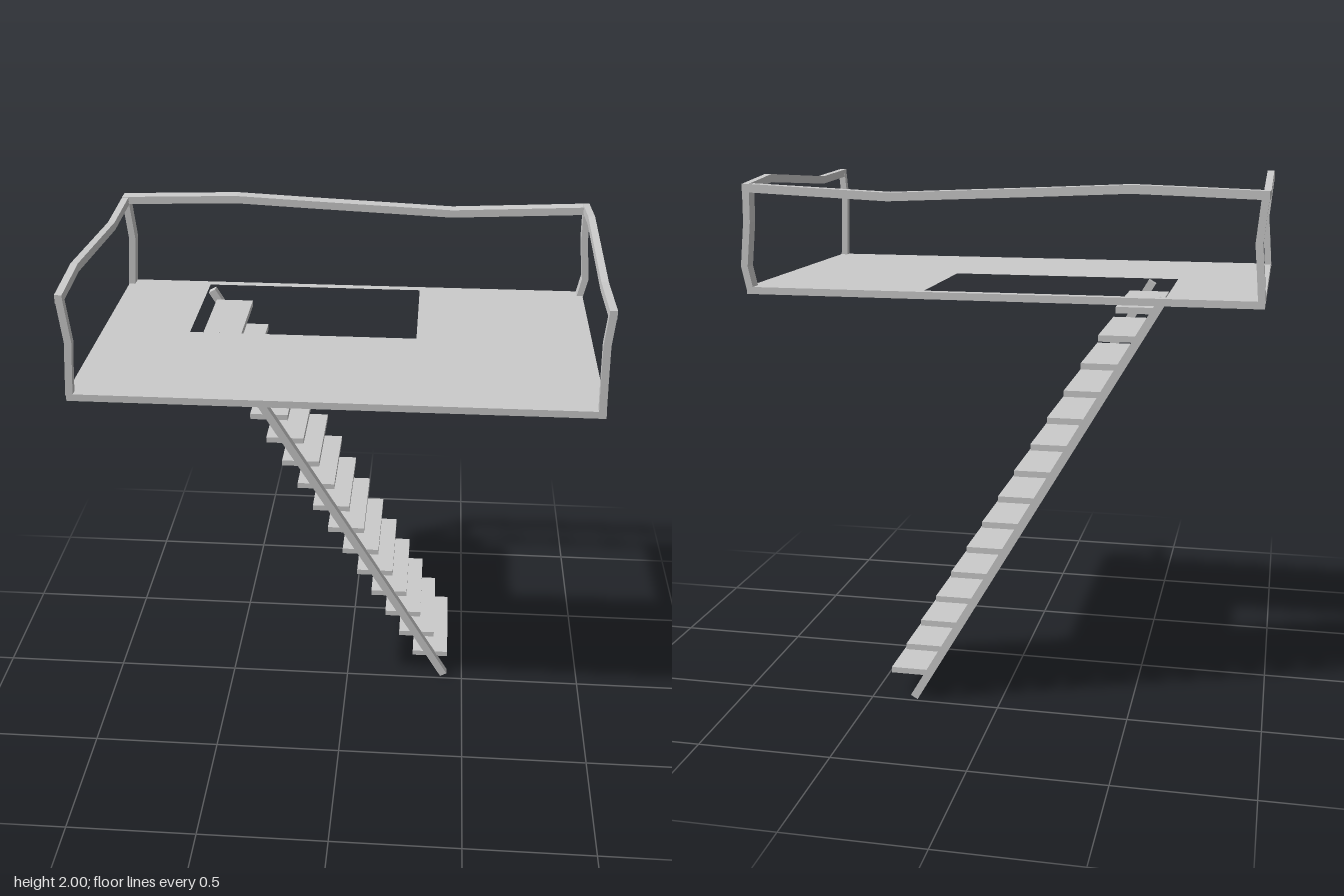
import * as THREE from 'three';

const material = new THREE.MeshStandardMaterial({ color: 0xcccccc, flatShading: true });
const X = [1, 0, 0], Y = [0, 1, 0], Z = [0, 0, 1];

// Slightly crooked beam: a w x h rectangle (along fixed axes u and v) swept through a few points
function beam(name, points, u, w, v, h) {
  const U = new THREE.Vector3(...u).multiplyScalar(w / 2);
  const V = new THREE.Vector3(...v).multiplyScalar(h / 2);
  const path = points.map((p) => new THREE.Vector3(...p));
  const along = path[path.length - 1].clone().sub(path[0]);
  if (U.clone().cross(V).dot(along) < 0) V.negate();
  const corners = [[-1, -1], [1, -1], [1, 1], [-1, 1]];
  const rings = path.map((p) => corners.map(([a, b]) => p.clone().addScaledVector(U, a).addScaledVector(V, b)));
  const out = [];
  const quad = (a, b, c, d) => [a, b, c, a, c, d].forEach((p) => out.push(p));
  for (let i = 0; i + 1 < rings.length; i++) {
    for (let k = 0; k < 4; k++) {
      const n = (k + 1) % 4;
      quad(rings[i][k], rings[i][n], rings[i + 1][n], rings[i + 1][k]);
    }
  }
  const first = rings[0], last = rings[rings.length - 1];
  quad(first[3], first[2], first[1], first[0]);
  quad(...last);
  const geometry = new THREE.BufferGeometry().setFromPoints(out);
  geometry.computeVertexNormals();
  const mesh = new THREE.Mesh(geometry, material);
  mesh.name = name;
  return mesh;
}

// Floor slab with the stair opening
function makePlatform() {
  const rect = (target, x0, x1, z0, z1) => {
    target.moveTo(x0, -z0);
    target.lineTo(x1, -z0);
    target.lineTo(x1, -z1);
    target.lineTo(x0, -z1);
    target.closePath();
    return target;
  };
  const shape = rect(new THREE.Shape(), -0.945, 0.922, -0.54, 0.54);
  shape.holes.push(rect(new THREE.Path(), -0.607, 0.26, -0.505, -0.02));
  const geometry = new THREE.ExtrudeGeometry(shape, { depth: 0.026, bevelEnabled: false });
  geometry.rotateX(-Math.PI / 2).translate(0, 1.58, 0);
  const mesh = new THREE.Mesh(geometry, material);
  mesh.name = 'platform';
  return mesh;
}

// Posts and handrails on the back and both sides
function makeRailing() {
  const group = new THREE.Group();
  group.name = 'railing';
  const post = (name, z, depth, bends) =>
    group.add(beam(name, bends.map(([x, y]) => [x, y, z]), X, 0.026, Z, depth));
  const left = [[0.908, 1.6], [0.904, 1.7], [0.899, 1.85], [0.908, 1.96]];
  const bowed = [[0.91, 1.6], [0.927, 1.68], [0.91, 1.84], [0.908, 1.96]];
  const right = [[-0.934, 1.6], [-0.926, 1.7], [-0.917, 1.8], [-0.932, 1.96]];
  post('frontLeftPost', 0.527, 0.026, left);
  post('backLeftPost', -0.515, 0.05, bowed);
  post('frontRightPost', 0.527, 0.026, right);
  post('backRightPost', -0.515, 0.05, right);

  const sideRail = (name, x, bends) =>
    group.add(beam(name, bends.map(([z, y]) => [x, y, z]), X, 0.026, Y, 0.03));
  sideRail('leftHandrail', 0.908, [[0.54, 1.96], [0.25, 1.945], [-0.32, 1.985], [-0.54, 1.962]]);
  sideRail('rightHandrail', -0.932, [[0.54, 1.96], [0.31, 1.985], [-0.24, 1.943], [-0.54, 1.962]]);
  const back = [[-0.945, 1.961], [-0.68, 1.97], [-0.48, 1.976], [-0.18, 1.962], [0.38, 1.938], [0.921, 1.963]];
  group.add(beam('backHandrail', back.map(([x, y]) => [x, y, -0.517]), Z, 0.05, Y, 0.03));
  return group;
}

// Steep stair: two offset stringers and evenly spaced treads
function makeStair() {
  const group = new THREE.Group();
  group.name = 'stair';
  const across = [0.863, 0.505, 0];
  const stringer = (name, shift, zs) => {
    const points = zs.map(([t, z]) => [0.335 + shift - 0.93 * t, 0.008 + 1.587 * t, z]);
    group.add(beam(name, points, across, 0.031, Z, 0.032));
  };
  stringer('frontStringer', 0.085, [[0, -0.028], [0.35, -0.03], [0.75, -0.022], [1, -0.022]]);
  stringer('backStringer', 0, [[0, -0.472], [0.25, -0.466], [0.75, -0.477], [1, -0.477]]);

  const treadGeometry = new THREE.BoxGeometry(0.15, 0.023, 0.415);
  for (let i = 0; i < 15; i++) {
    const tread = new THREE.Mesh(treadGeometry, material);
    tread.name = 'tread';
    tread.position.set(0.358 - 0.0613 * i, 0.1 + 0.1035 * i, -0.248);
    group.add(tread);
  }
  return group;
}

export function createModel() {
  const model = new THREE.Group();
  model.name = 'platformWithStair';
  model.add(makePlatform(), makeRailing(), makeStair());
  return model;
}
